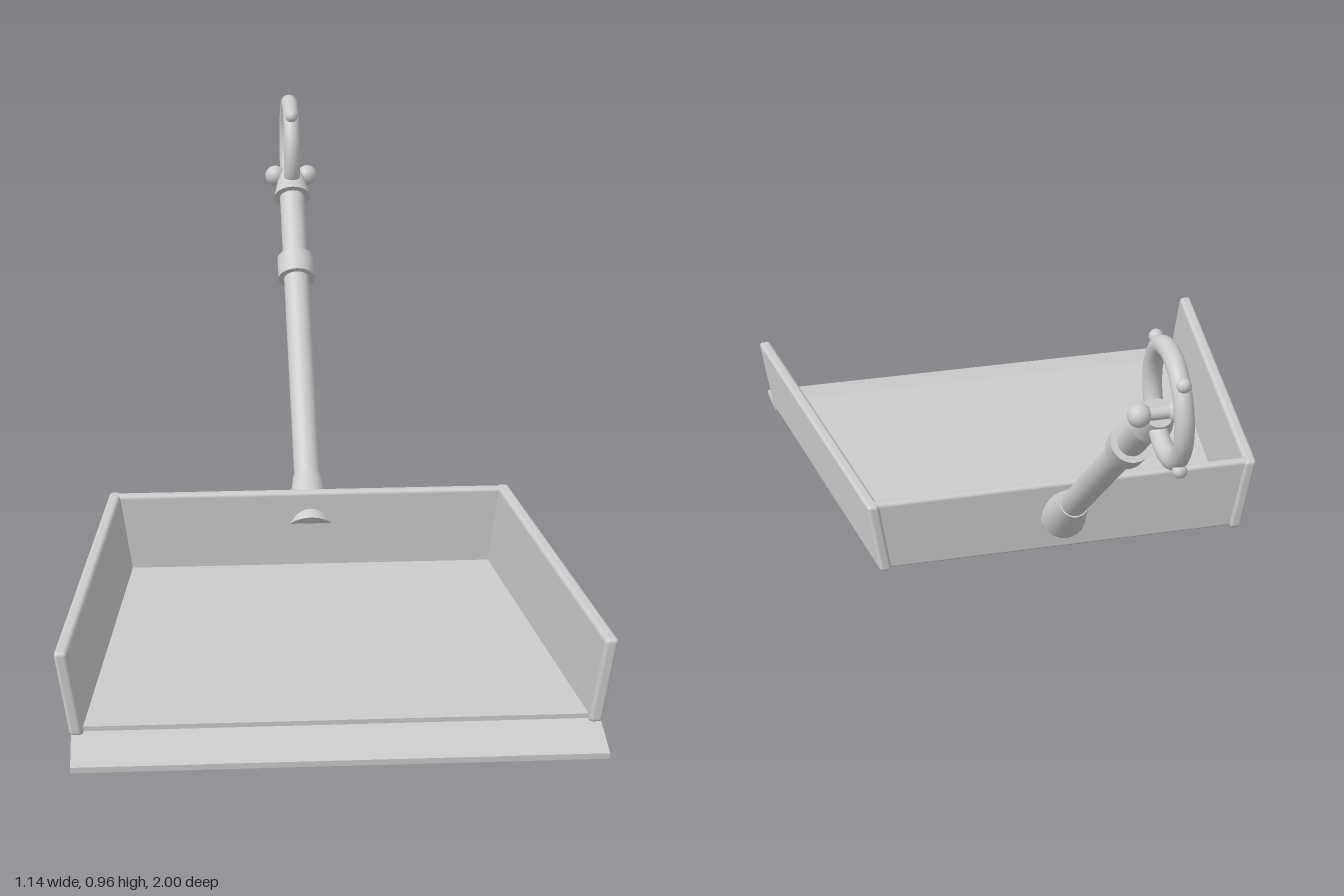
import * as THREE from 'three';
import { RoundedBoxGeometry } from 'three/addons/geometries/RoundedBoxGeometry.js';

const material = new THREE.MeshStandardMaterial({ color: 0xcccccc });

function add(parent, name, geometry, x = 0, y = 0, z = 0) {
  const mesh = new THREE.Mesh(geometry, material);
  mesh.name = name;
  mesh.position.set(x, y, z);
  parent.add(mesh);
  return mesh;
}

// Moves every vertex of a geometry by a rule
function warp(geometry, rule) {
  const p = geometry.attributes.position;
  const v = new THREE.Vector3();
  for (let i = 0; i < p.count; i++) {
    rule(v.fromBufferAttribute(p, i));
    p.setXYZ(i, v.x, v.y, v.z);
  }
  return geometry;
}

// Flat trapezoid plate, wider at the front, with a thickness in y
function plate(halfBack, halfFront, zBack, zFront, thickness) {
  const g = new THREE.BoxGeometry(2, thickness, zFront - zBack);
  g.translate(0, 0, (zFront + zBack) / 2);
  warp(g, (v) => {
    v.x *= THREE.MathUtils.mapLinear(v.z, zBack, zFront, halfBack, halfFront);
  });
  g.computeVertexNormals();
  return g;
}

export function createModel() {
  const model = new THREE.Group();
  model.name = 'dustpan';

  // Pan: floor, sloping lip and outward-leaning walls
  const pan = new THREE.Group();
  pan.name = 'pan';
  model.add(pan);
  add(pan, 'floor', plate(0.43, 0.535, -0.01, 0.87, 0.015), 0, 0.033, 0);

  const lip = plate(0.542, 0.542, 0.865, 1, 0.012);
  warp(lip, (v) => { v.y += THREE.MathUtils.mapLinear(v.z, 0.865, 1, 0.025, 0.006); });
  lip.computeVertexNormals();
  add(pan, 'frontLip', lip);

  const wallHeight = 0.185, wallY = 0.1175;
  for (const side of [1, -1]) {
    const wall = new RoundedBoxGeometry(0.028, wallHeight, 0.91, 3, 0.009);
    warp(wall, (v) => {
      v.x = side * (0.491 + 0.16 * v.y + 0.12 * v.z) + v.x;
      v.z += 0.43 - (v.z < 0 ? 0.1 * (v.y + wallHeight / 2) : 0);
    });
    add(pan, side > 0 ? 'leftWall' : 'rightWall', wall, 0, wallY, 0);
  }
  const back = new RoundedBoxGeometry(0.9, wallHeight, 0.026, 3, 0.009);
  warp(back, (v) => {
    v.x *= 1 + 0.36 * v.y;
    v.z -= 0.013 + 0.13 * v.y;
  });
  add(pan, 'backWall', back, 0, wallY, 0);

  // Handle: built along its own y axis, then leaned back
  const handle = new THREE.Group();
  handle.name = 'handle';
  handle.position.set(0, 0.115, -0.02);
  handle.rotation.x = -THREE.MathUtils.degToRad(50);
  model.add(handle);
  const rod = (name, top, bottom, from, to) =>
    add(handle, name, new THREE.CylinderGeometry(top, bottom, to - from, 24), 0, (from + to) / 2, 0);
  rod('socket', 0.034, 0.055, 0, 0.14);
  rod('shaft', 0.031, 0.031, 0.05, 1);
  rod('collar', 0.045, 0.045, 0.705, 0.765);
  rod('endCap', 0.03, 0.046, 0.95, 1.02);

  // Cross pin with a ball on each end
  const pin = add(model, 'crossPin', new THREE.CylinderGeometry(0.014, 0.014, 0.08, 16), 0, 0.77, -0.8);
  pin.rotation.z = Math.PI / 2;
  for (const side of [1, -1]) {
    add(model, 'pinBall', new THREE.SphereGeometry(0.025, 20, 14), side * 0.04, 0.77, -0.8);
  }

  // Hanging ring with three small beads around its rim
  const ring = new THREE.Group();
  ring.name = 'hangingRing';
  ring.position.set(0, 0.825, -0.865);
  model.add(ring);
  add(ring, 'hoop', new THREE.TorusGeometry(0.115, 0.02, 16, 48)).rotation.y = Math.PI / 2;
  for (const degrees of [48, 140, 230]) {
    const a = THREE.MathUtils.degToRad(degrees);
    add(ring, 'bead', new THREE.SphereGeometry(0.015, 16, 12), 0, 0.138 * Math.sin(a), 0.138 * Math.cos(a));
  }

  return model;
}
